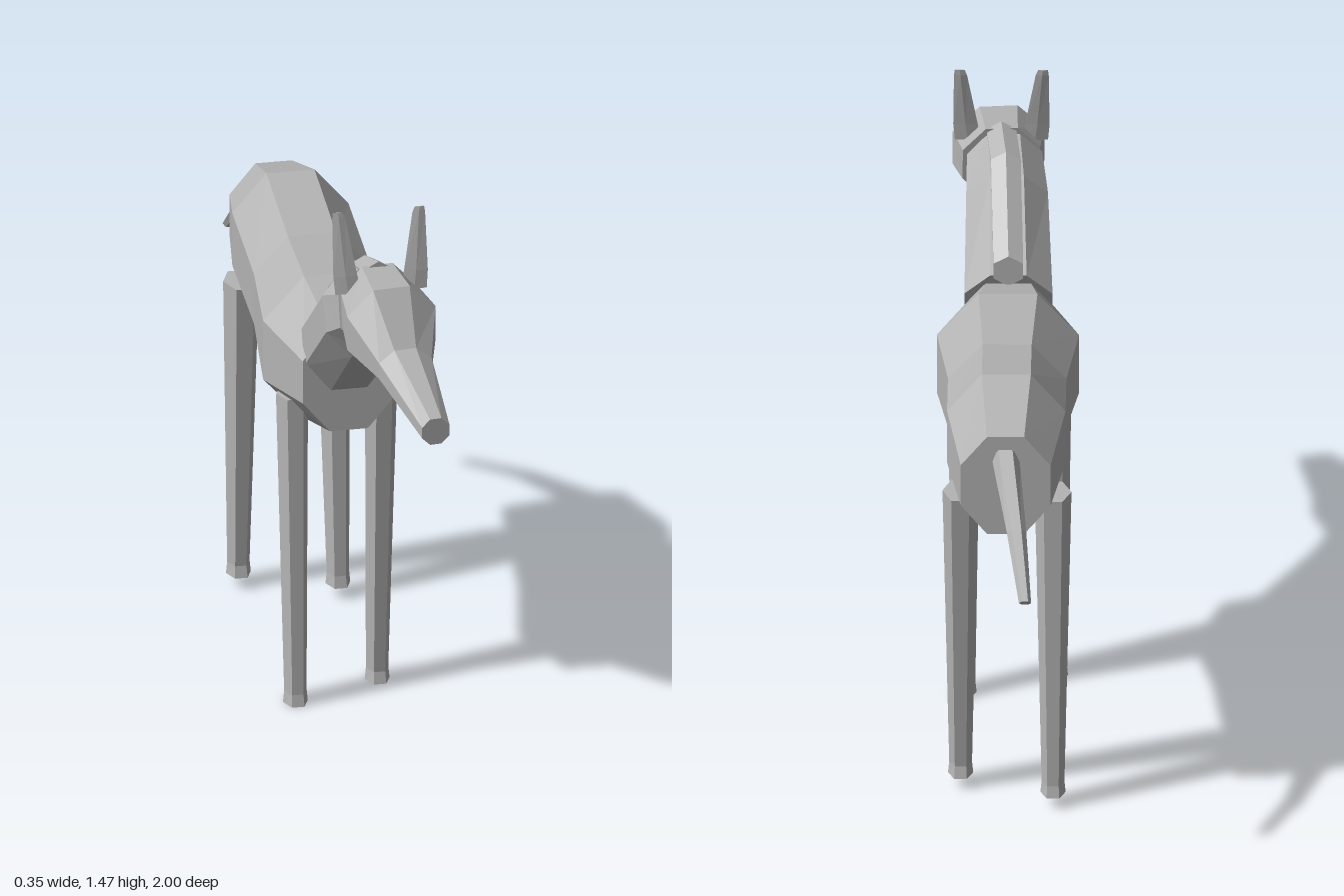
import * as THREE from 'three';

const grey = new THREE.MeshStandardMaterial({ color: 0xb4b4b4, flatShading: true });
grey.name = 'plain grey';

// Skins a row of polygon rings. Ring: [x, y, z, radiusX, radiusY, pitch, yaw];
// rings advance along their own +z, and spin turns the polygon's corners.
function loft(name, sides, spin, rings) {
  const loops = rings.map(([x, y, z, rx, ry, pitch = 0, yaw = 0]) => {
    const turn = new THREE.Euler(pitch, yaw, 0, 'YXZ');
    const loop = [];
    for (let i = 0; i < sides; i++) {
      const a = spin + (i / sides) * Math.PI * 2;
      const p = new THREE.Vector3(Math.cos(a) * rx, Math.sin(a) * ry, 0);
      loop.push(p.applyEuler(turn).add(new THREE.Vector3(x, y, z)));
    }
    return loop;
  });
  const points = [];
  for (let r = 0; r + 1 < loops.length; r++) {
    const a = loops[r], b = loops[r + 1];
    for (let i = 0; i < sides; i++) {
      const j = (i + 1) % sides;
      points.push(a[i], a[j], b[j], a[i], b[j], b[i]);
    }
  }
  const first = loops[0], last = loops[loops.length - 1];
  for (let i = 1; i + 1 < sides; i++) {
    points.push(first[0], first[i + 1], first[i], last[0], last[i], last[i + 1]);
  }
  const geometry = new THREE.BufferGeometry().setFromPoints(points);
  geometry.computeVertexNormals();
  const mesh = new THREE.Mesh(geometry, grey);
  mesh.name = name;
  return mesh;
}

// Octagons with flat tops: radii are scaled so sizes are flat-to-flat
const EIGHTH = Math.PI / 8;
function octLoft(name, rings) {
  const k = 1 / Math.cos(EIGHTH);
  return loft(name, 8, EIGHTH, rings.map(([x, y, z, rx, ry, ...t]) => [x, y, z, rx * k, ry * k, ...t]));
}

export function createModel() {
  const model = new THREE.Group();
  model.name = 'longLeggedAnimal';

  model.add(octLoft('body', [
    [0, 0.93, -0.68, 0.11, 0.132],
    [0, 0.96, -0.47, 0.145, 0.17],
    [0, 0.92, -0.20, 0.145, 0.16],
    [0, 0.90, 0.06, 0.174, 0.19],
    [0, 0.897, 0.26, 0.115, 0.137],
  ]));

  model.add(octLoft('neck', [
    [0, 0.975, 0.225, 0.108, 0.11, -0.36],
    [0.005, 1.155, 0.43, 0.1, 0.11, -0.45],
    [0.012, 1.21, 0.54, 0.092, 0.1, -0.3],
  ]));

  // Ridge of hair, corner upward
  model.add(loft('mane', 6, Math.PI / 2, [
    [0, 1.093, 0.18, 0.042, 0.04],
    [0.008, 1.26, 0.42, 0.042, 0.04],
    [0.02, 1.29, 0.53, 0.042, 0.04],
  ]));

  // Head is turned slightly to its left
  model.add(octLoft('head', [
    [0.02, 1.217, 0.53, 0.095, 0.1, -0.12, 0.1],
    [0.028, 1.205, 0.652, 0.113, 0.107, 0, 0.1],
    [0.043, 1.14, 0.75, 0.067, 0.05, 0, 0.1],
    [0.07, 1.076, 0.996, 0.035, 0.034, 0, 0.1],
  ]));

  // Thin blade ears
  for (const side of [1, -1]) {
    const x = 0.02;
    model.add(loft(side > 0 ? 'leftEar' : 'rightEar', 4, 0, [
      [x + side * 0.082, 1.265, 0.562, 0.032, 0.004, -Math.PI / 2],
      [x + side * 0.088, 1.31, 0.556, 0.03, 0.004, -Math.PI / 2],
      [x + side * 0.1, 1.455, 0.532, 0.016, 0.003, -Math.PI / 2],
      [x + side * 0.102, 1.47, 0.53, 0.012, 0.002, -Math.PI / 2],
    ]));
  }

  // Tail, from tip to root
  model.add(loft('tail', 6, 0, [
    [-0.05, 0.763, -0.993, 0.015, 0.012, -0.75],
    [-0.028, 0.892, -0.86, 0.024, 0.018, -0.7],
    [0, 1.0, -0.67, 0.034, 0.04, -0.5],
  ]));

  // Legs: [name, x, top y, top z, foot y, foot z, top radius x, top radius z]
  const legs = [
    ['frontLeftLeg', 0.108, 0.81, 0.122, 0, 0.072, 0.04, 0.05],
    ['frontRightLeg', -0.115, 0.81, 0.125, 0, 0.167, 0.04, 0.05],
    ['hindLeftLeg', 0.112, 0.83, -0.503, 0.03, -0.438, 0.044, 0.07],
    ['hindRightLeg', -0.115, 0.83, -0.51, 0.03, -0.545, 0.045, 0.066],
  ];
  const down = Math.PI / 2;
  for (const [name, x, topY, topZ, footY, footZ, rx, rz] of legs) {
    model.add(loft(name, 6, 0, [
      [x, topY, topZ, rx, rz, down],
      [x, footY + 0.03, footZ, 0.028, 0.036, down],
      [x, footY, footZ, 0.031, 0.044, down],
    ]));
  }
  return model;
}
